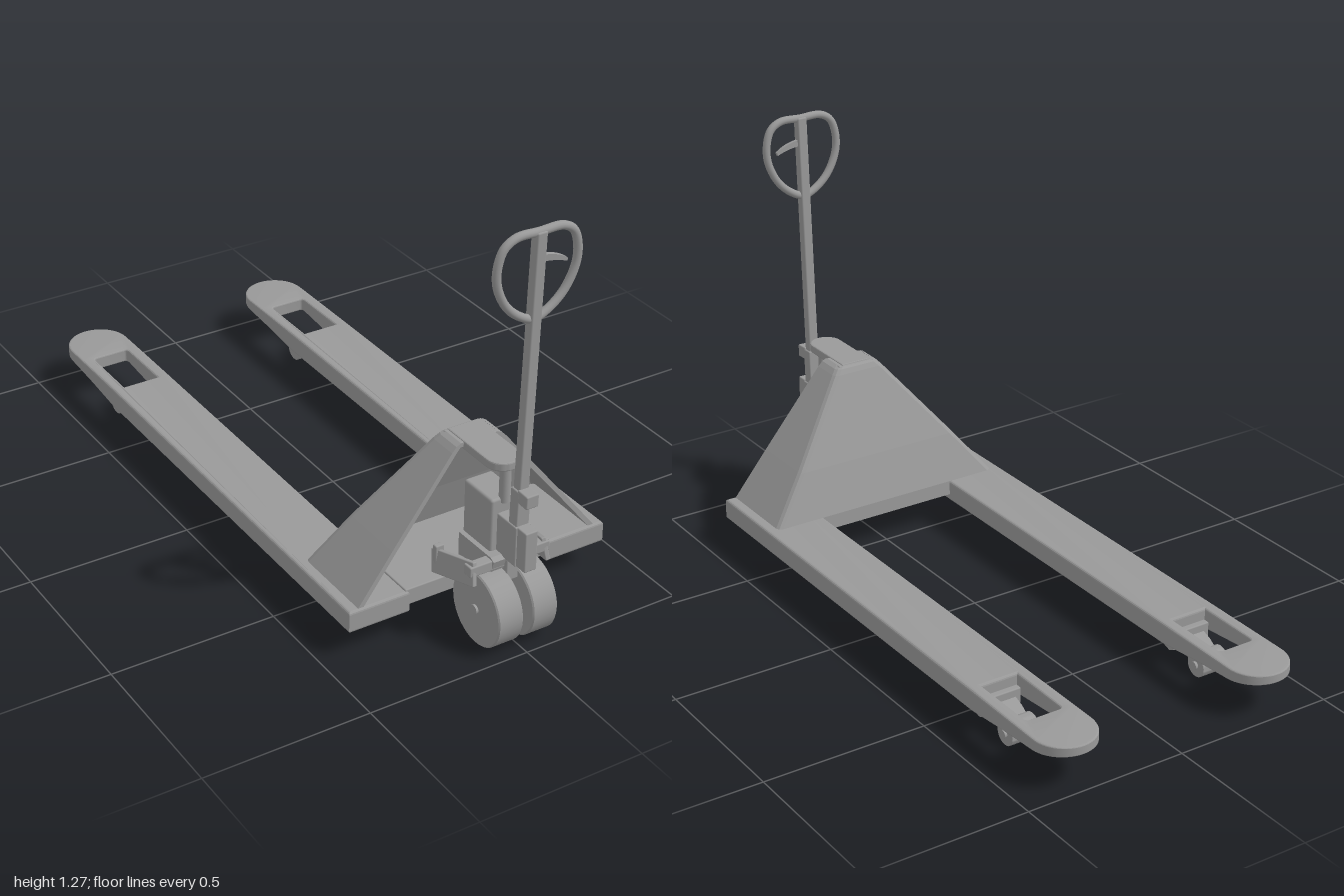
import * as THREE from 'three';
import { toCreasedNormals } from 'three/addons/utils/BufferGeometryUtils.js';
import { RoundedBoxGeometry } from 'three/addons/geometries/RoundedBoxGeometry.js';

const paint = new THREE.MeshStandardMaterial({ color: 0x999999 });
const V = (x, y, z) => new THREE.Vector3(x, y, z);

export function createModel() {
  const model = new THREE.Group();

  const add = (name, geometry, parent = model) => {
    const mesh = new THREE.Mesh(geometry, paint);
    mesh.name = name;
    parent.add(mesh);
    return mesh;
  };
  // Box given by its limits on each axis
  const box = (name, x0, x1, y0, y1, z0, z1, r = 0.004, parent = model) => {
    const m = add(name, new RoundedBoxGeometry(x1 - x0, y1 - y0, z1 - z0, 2, r), parent);
    m.position.set((x0 + x1) / 2, (y0 + y1) / 2, (z0 + z1) / 2);
    return m;
  };
  // Cylinder along x
  const axle = (name, r, length, x, y, z, parent = model) => {
    const m = add(name, new THREE.CylinderGeometry(r, r, length, 24).rotateZ(Math.PI / 2), parent);
    m.position.set(x, y, z);
  };
  // Wheel along x with chamfered rims
  const wheel = (name, r, width, x, y, z, parent = model) => {
    const h = width / 2, c = r * 0.035;
    const profile = [[0, -h], [r - c, -h], [r, -h + c], [r, h - c], [r - c, h], [0, h]]
      .map(([a, b]) => new THREE.Vector2(a, b));
    const g = toCreasedNormals(new THREE.LatheGeometry(profile, 36), 0.5).rotateZ(Math.PI / 2);
    const m = add(name, g, parent);
    m.position.set(x, y, z);
  };
  // Side profile given as [z, y] points, extruded across x
  const sidePlate = (name, points, x0, x1, parent = model) => {
    const s = new THREE.Shape(points.map(([z, y]) => new THREE.Vector2(-z, y)));
    const g = new THREE.ExtrudeGeometry(s, { depth: x1 - x0, bevelEnabled: false });
    g.rotateY(Math.PI / 2).translate(x0, 0, 0);
    add(name, g, parent);
  };

  // Forks: rounded tip, roller window, underside rising towards the tip
  const b = 0.008, hw = 0.096 - b, bottom = 0.078, top = 0.145;
  const outline = new THREE.Shape();
  outline.moveTo(-hw, -0.77 + b);
  outline.lineTo(hw, -0.77 + b);
  for (const z of [0.62, 0.75, 0.83]) outline.lineTo(hw, z);
  outline.lineTo(hw, 0.9);
  outline.absellipse(0, 0.9, hw, 0.1 - b, 0, Math.PI, false);
  for (const z of [0.83, 0.75, 0.62]) outline.lineTo(-hw, z);
  outline.closePath();
  const hole = new THREE.Path();
  const hx = 0.058 + b;
  hole.moveTo(-hx, 0.61 - b);
  hole.lineTo(-hx, 0.805);
  hole.quadraticCurveTo(-hx, 0.82 + b, -hx + 0.02, 0.82 + b);
  hole.lineTo(hx - 0.02, 0.82 + b);
  hole.quadraticCurveTo(hx, 0.82 + b, hx, 0.805);
  hole.lineTo(hx, 0.61 - b);
  hole.closePath();
  outline.holes.push(hole);
  const forkRaw = new THREE.ExtrudeGeometry(outline,
    { depth: top - bottom - 2 * b, bevelThickness: b, bevelSize: b, bevelSegments: 3, curveSegments: 12 });
  forkRaw.rotateX(-Math.PI / 2).translate(0, bottom + b, 0);
  const p = forkRaw.attributes.position;
  for (let i = 0; i < p.count; i++) {
    const t = Math.min(1, Math.max(0, (-0.62 - p.getZ(i)) / 0.38));
    p.setY(i, top - (top - p.getY(i)) * (1 - 0.55 * Math.pow(t, 0.8)) - 0.004 * t);
  }
  const forkGeometry = toCreasedNormals(forkRaw, 0.25);

  for (const side of [-1, 1]) {
    const fork = new THREE.Group();
    fork.name = side > 0 ? 'leftFork' : 'rightFork';
    fork.position.x = side * 0.326;
    model.add(fork);
    add('forkBlade', forkGeometry, fork);
    // Load roller on its swing arm
    wheel('loadRoller', 0.036, 0.09, 0, 0.036, -0.702, fork);
    axle('rollerAxle', 0.012, 0.105, 0, 0.036, -0.702, fork);
    const armProfile = [[-0.62, 0.09], [-0.66, 0.075], [-0.705, 0.045], [-0.69, 0.026],
      [-0.65, 0.047], [-0.6, 0.042], [-0.56, 0.055], [-0.52, 0.085]];
    sidePlate('rollerArm', armProfile, -0.04, 0.04, fork);
    sidePlate('rollerBracket', [[-0.62, 0.09], [-0.62, 0.05], [-0.6, 0.042], [-0.56, 0.055], [-0.52, 0.085]],
      -0.06, 0.06, fork);
    box('rollerCrossbar', -0.058, 0.058, 0.062, 0.11, -0.63, -0.608, 0.004, fork);
  }

  // Tapering hollow housing, open at the front: U-shaped sections [y, half width, rear z]
  const levels = [[0.1, 0.39, 0.488], [0.145, 0.39, 0.49], [0.285, 0.28, 0.541],
    [0.525, 0.088, 0.647], [0.54, 0.074, 0.656], [0.547, 0.06, 0.668]];
  const U = (w, zb, zf, c) => [[w, zf], [w, zb + c], [w - c * 0.3, zb + c * 0.3], [w - c, zb],
    [c - w, zb], [c * 0.3 - w, zb + c * 0.3], [-w, zb + c], [-w, zf]];
  const rings = levels.map(([y, w, zb]) => {
    const zf = 0.765 - (y - 0.1) * 0.04;
    return [...U(w, zb, zf, 0.016), ...U(w - 0.018, zb + 0.014, zf, 0.008).reverse()]
      .map(([x, z]) => [x, y, z]);
  });
  const shell = [];
  const n = rings[0].length;
  for (let k = 0; k < rings.length - 1; k++) {
    for (let i = 0; i < n; i++) {
      const j = (i + 1) % n;
      const [a, d, c, e] = [rings[k][i], rings[k][j], rings[k + 1][j], rings[k + 1][i]];
      shell.push(...a, ...d, ...c, ...a, ...c, ...e);
    }
  }
  const shellGeometry = new THREE.BufferGeometry();
  shellGeometry.setAttribute('position', new THREE.Float32BufferAttribute(shell, 3));
  shellGeometry.computeVertexNormals();
  add('housingShell', shellGeometry);
  box('housingRoof', -0.062, 0.062, 0.53, 0.547, 0.664, 0.746);
  box('housingFloor', -0.24, 0.24, 0.098, 0.15, 0.492, 0.764);

  // Top plate with rounded nose reaching over the pump
  const plate = new THREE.Shape();
  plate.moveTo(-0.046, -0.67);
  plate.lineTo(-0.046, -0.85);
  plate.absarc(0, -0.85, 0.046, Math.PI, 2 * Math.PI, false);
  plate.lineTo(0.046, -0.67);
  plate.closePath();
  const plateGeometry = new THREE.ExtrudeGeometry(plate,
    { depth: 0.018, bevelThickness: 0.004, bevelSize: 0.004, bevelSegments: 2 });
  plateGeometry.rotateX(-Math.PI / 2).translate(0, 0.528, 0);
  add('topPlate', toCreasedNormals(plateGeometry, 0.3));

  // Hydraulic pump
  box('pumpBody', -0.045, 0.045, 0.255, 0.43, 0.745, 0.875, 0.008);
  const ram = add('pumpRam', new THREE.CylinderGeometry(0.016, 0.016, 0.12, 24));
  ram.position.set(0, 0.475, 0.87);
  box('pumpValve', 0.02, 0.05, 0.28, 0.39, 0.87, 0.895);
  box('handleSocket', -0.025, 0.025, 0.262, 0.385, 0.87, 0.96);
  box('socketNose', -0.02, 0.02, 0.262, 0.385, 0.93, 0.998);

  // Steering yoke and wheels
  sidePlate('yokePlate', [[0.75, 0.268], [0.9, 0.27], [0.915, 0.262], [0.905, 0.228], [0.75, 0.195]], -0.06, 0.06);
  box('yokeBar', -0.13, 0.13, 0.232, 0.264, 0.875, 0.908);
  box('steeringNeck', -0.02, 0.02, 0.19, 0.26, 0.86, 0.92);
  axle('steerAxle', 0.014, 0.206, 0, 0.111, 0.889);
  for (const s of [-1, 1]) {
    wheel('steerWheel', 0.111, 0.08, s * 0.056, 0.111, 0.889);
    const arm = box('yokeArm', -0.007, 0.007, -0.035, 0.035, -0.082, 0.082, 0.003);
    arm.position.set(s * 0.13, 0.225, 0.83);
    arm.rotation.set(-0.2, -s * 0.17, s * 0.12);
    box('yokeFoot', s * 0.135 - 0.014, s * 0.135 + 0.014, 0.182, 0.262, 0.755, 0.772);
  }

  // Tiller: leaning pole, loop grip and release lever
  const tiller = new THREE.Group();
  tiller.name = 'tiller';
  tiller.position.set(0, 0.38, 0.937);
  tiller.rotation.x = 0.04;
  model.add(tiller);
  box('pole', -0.016, 0.016, -0.05, 0.882, -0.015, 0.015, 0.005, tiller);
  box('poleSleeve', -0.021, 0.021, -0.05, 0.115, -0.018, 0.018, 0.004, tiller);
  box('poleClamp', -0.02, 0.02, 0.08, 0.12, 0.01, 0.054, 0.004, tiller);
  const half = [[0.07, 0.878], [0.105, 0.857], [0.122, 0.81], [0.12, 0.755], [0.09, 0.69], [0.045, 0.648]];
  const loop = [V(0, 0.878, 0), ...half.map(([x, y]) => V(x, y, 0)), V(0, 0.63, 0),
    ...half.slice().reverse().map(([x, y]) => V(-x, y, 0))];
  add('loopGrip', new THREE.TubeGeometry(new THREE.CatmullRomCurve3(loop, true), 96, 0.012, 12, true), tiller);
  const lever = new THREE.Shape();
  lever.moveTo(0.01, 0.812);
  lever.quadraticCurveTo(0.06, 0.806, 0.09, 0.782);
  lever.lineTo(0.088, 0.774);
  lever.quadraticCurveTo(0.05, 0.79, 0.01, 0.792);
  lever.closePath();
  add('releaseLever', new THREE.ExtrudeGeometry(lever, { depth: 0.012, bevelEnabled: false })
    .translate(0, 0, -0.006), tiller);

  return model;
}
